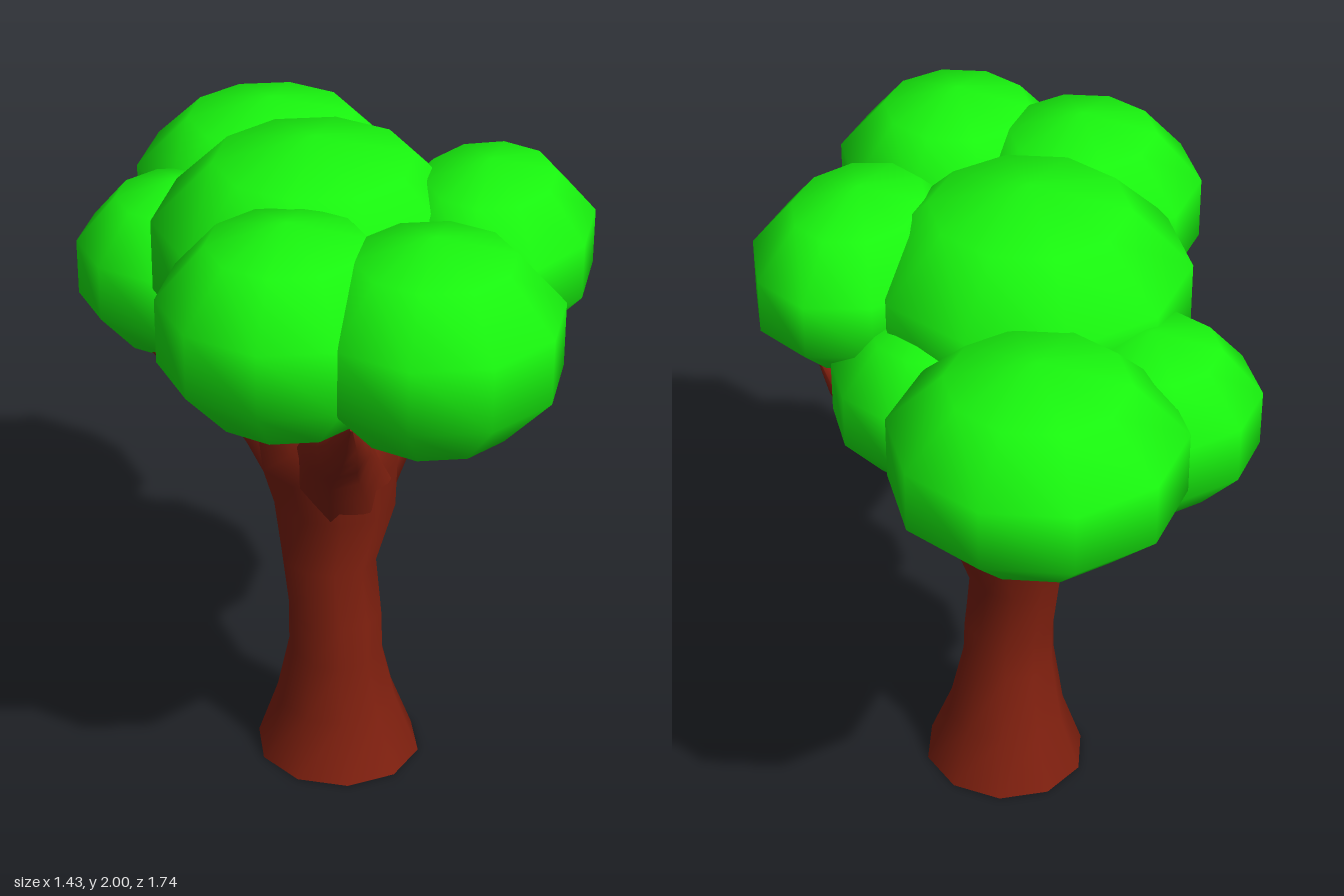
import * as THREE from 'three';
import { mergeVertices, toCreasedNormals } from 'three/addons/utils/BufferGeometryUtils.js';

const leafMat = new THREE.MeshStandardMaterial({ color: 0x19f80f });
const barkMat = new THREE.MeshStandardMaterial({ color: 0x80200f });

// Welds seams and smooths everything but sharp corners
function smooth(geo) {
  geo.deleteAttribute('uv');
  geo.deleteAttribute('normal');
  return toCreasedNormals(mergeVertices(geo), 1.1);
}

// Trunk: a ten-sided cylinder whose rows follow [y, cx, cz, rx, rz]
function makeTrunk() {
  const rows = [
    [0, 0.04, 0.03, 0.245, 0.23],
    [0.18, 0.035, 0.03, 0.18, 0.17],
    [0.37, 0.037, 0.055, 0.14, 0.137],
    [0.5, 0.035, 0.055, 0.138, 0.13],
    [0.68, 0.015, 0.052, 0.14, 0.123],
    [0.86, 0.025, 0.03, 0.18, 0.16],
    [1.0, 0.01, 0.035, 0.2, 0.2],
    [1.11, 0.01, 0.035, 0.21, 0.22],
    [1.2, 0.01, 0.035, 0.18, 0.18],
    [1.25, 0.01, 0.035, 0.1, 0.1],
  ];
  const geo = new THREE.CylinderGeometry(1, 1, 1, 10, rows.length - 1);
  geo.rotateY(Math.PI / 10);
  const p = geo.attributes.position;
  for (let i = 0; i < p.count; i++) {
    const [y, cx, cz, rx, rz] = rows[Math.round((p.getY(i) + 0.5) * (rows.length - 1))];
    p.setXYZ(i, cx + p.getX(i) * rx, y, cz + p.getZ(i) * rz);
  }
  return smooth(geo);
}

// Branch: a tube along a curve, tapering from r0 to a blunt tip
function makeBranch(points, r0, r1) {
  const curve = new THREE.CatmullRomCurve3(points.map((a) => new THREE.Vector3(...a)));
  const seg = 7, sides = 8;
  const geo = new THREE.TubeGeometry(curve, seg, 1, sides);
  const p = geo.attributes.position;
  const v = new THREE.Vector3();
  for (let i = 0; i < p.count; i++) {
    const row = Math.floor(i / (sides + 1));
    const t = row / seg;
    const r = row === seg ? 0.004 : r1 + (r0 - r1) * Math.pow(1 - t, 1.2);
    const c = curve.getPointAt(t);
    v.fromBufferAttribute(p, i).sub(c).multiplyScalar(r).add(c);
    p.setXYZ(i, v.x, v.y, v.z);
  }
  return smooth(geo);
}

export function createModel() {
  const group = new THREE.Group();
  const add = (name, geo, mat) => {
    const mesh = new THREE.Mesh(geo, mat);
    mesh.name = name;
    group.add(mesh);
    return mesh;
  };

  add('trunk', makeTrunk(), barkMat);

  // Four limbs spreading from the fork
  const limbs = {
    frontBranch: [[0.05, 0.98, 0.08], [0.08, 1.15, 0.25], [0.14, 1.27, 0.44], [0.2, 1.45, 0.63]],
    rightBranch: [[-0.03, 0.98, 0.04], [-0.2, 1.17, 0.05], [-0.36, 1.27, 0.05], [-0.55, 1.33, 0.04]],
    backBranch: [[0, 0.98, 0], [-0.08, 1.16, -0.18], [-0.2, 1.25, -0.36], [-0.33, 1.3, -0.62]],
    leftBranch: [[0.06, 0.95, 0], [0.18, 1.14, -0.11], [0.32, 1.3, -0.2], [0.47, 1.53, -0.25]],
  };
  for (const [name, pts] of Object.entries(limbs)) {
    add(name, makeBranch(pts, 0.15, 0.025), barkMat);
  }

  // Leaf clumps: centre, then radii in x, y, z (z and x at the widest rows)
  const ball = new THREE.SphereGeometry(1, 10, 5);
  ball.rotateY(Math.PI / 2);
  const widest = Math.sin(Math.PI * 0.4);
  const clumps = {
    crownClump: [-0.02, 1.67, 0.07, 0.44, 0.33, 0.44],
    frontLeftClump: [0.39, 1.68, 0.53, 0.337, 0.29, 0.337],
    frontRightClump: [0.01, 1.68, 0.53, 0.337, 0.29, 0.337],
    leftClump: [0.44, 1.688, -0.02, 0.285, 0.252, 0.355],
    backClump: [-0.27, 1.567, -0.485, 0.39, 0.286, 0.383],
    rightClump: [-0.44, 1.495, -0.105, 0.295, 0.26, 0.29],
    lowerFrontClump: [-0.125, 1.43, 0.23, 0.225, 0.235, 0.22],
    lowerBackClump: [0.14, 1.472, -0.2, 0.285, 0.25, 0.283],
  };
  for (const [name, [x, y, z, rx, ry, rz]] of Object.entries(clumps)) {
    const mesh = add(name, ball, leafMat);
    mesh.position.set(x, y, z);
    mesh.scale.set(rx / widest, ry, rz / widest);
  }
  return group;
}
